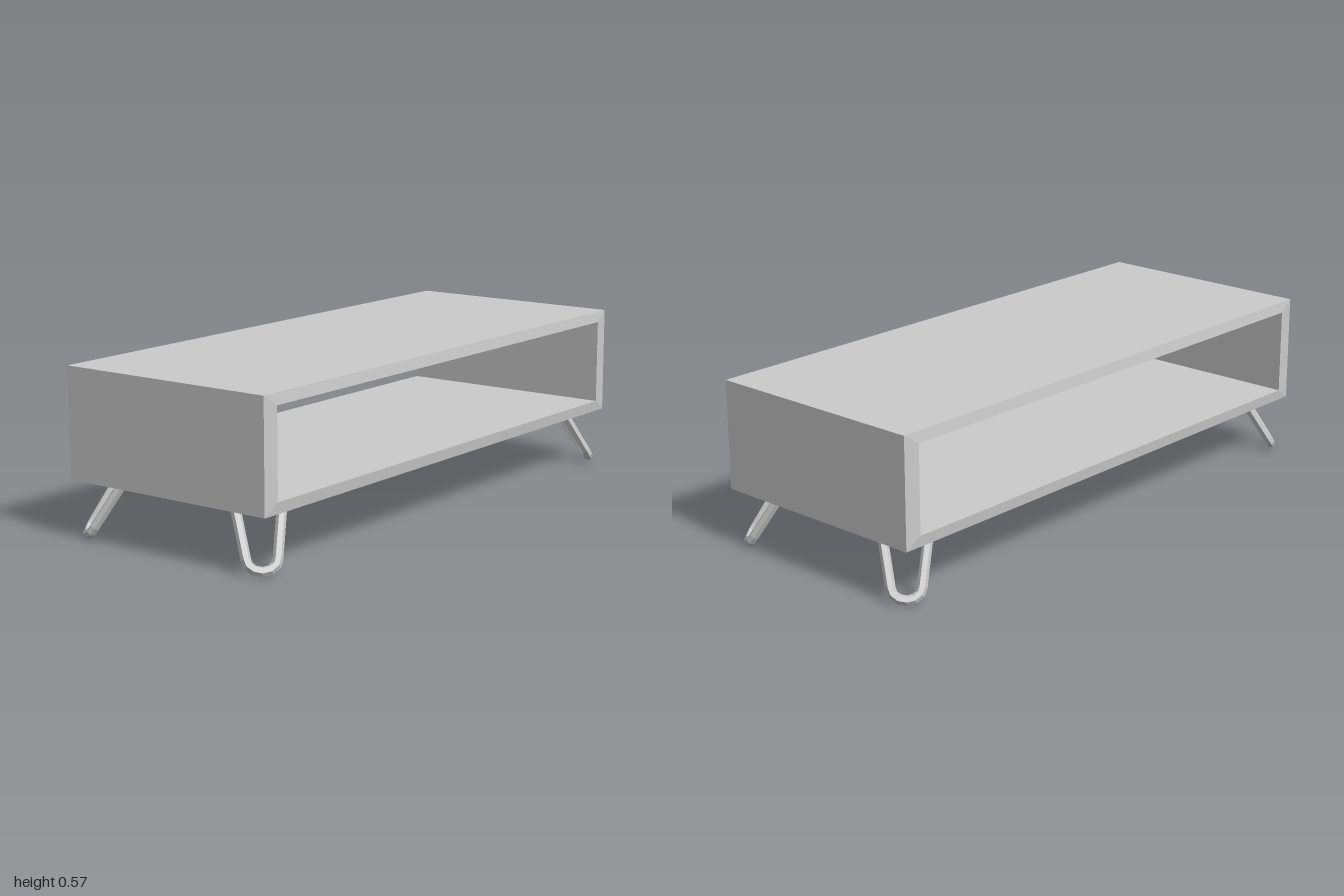
import * as THREE from 'three';

const material = new THREE.MeshStandardMaterial({ color: 0xcccccc, flatShading: true });

// Skins a list of rings (equal point counts, counter-clockwise along travel).
function loft(rings, closed) {
  const count = rings[0].length;
  const index = [];
  const last = closed ? rings.length : rings.length - 1;
  for (let i = 0; i < last; i++) {
    const next = (i + 1) % rings.length;
    for (let j = 0; j < count; j++) {
      const k = (j + 1) % count;
      const a = i * count + j, b = i * count + k;
      const c = next * count + j, d = next * count + k;
      index.push(a, b, c, b, d, c);
    }
  }
  const geometry = new THREE.BufferGeometry().setFromPoints(rings.flat());
  geometry.setIndex(index);
  const flat = geometry.toNonIndexed();
  flat.computeVertexNormals();
  return flat;
}

// Open rectangular case; the rims slope slightly outward to the opening.
function caseGeometry() {
  const rectangle = (halfX, y0, y1, z) => [
    new THREE.Vector3(-halfX, y0, z), new THREE.Vector3(halfX, y0, z),
    new THREE.Vector3(halfX, y1, z), new THREE.Vector3(-halfX, y1, z),
  ];
  return loft([
    rectangle(1, 0.197, 0.572, -0.404),
    rectangle(1, 0.197, 0.572, 0.404),
    rectangle(0.943, 0.236, 0.534, 0.409),
    rectangle(0.943, 0.236, 0.534, -0.409),
  ], true);
}

// Bent-rod leg: a U in a plane leaning outward along local +z.
function legGeometry() {
  const lean = 0.63, radius = 0.0165, sides = 6, bends = 6;
  const point = (x, y) => new THREE.Vector3(x, y, 0.404 + (0.197 - y) * lean);
  const path = [point(0.075, 0.21)];
  for (let i = 0; i <= bends; i++) {
    const a = (i / bends) * Math.PI;
    path.push(point(0.049 * Math.cos(a), 0.05 - 0.034 * Math.sin(a)));
  }
  path.push(point(-0.075, 0.21));

  const normal = new THREE.Vector3(0, lean, 1).normalize();
  const rings = path.map((p, i) => {
    const before = path[Math.max(i - 1, 0)];
    const after = path[Math.min(i + 1, path.length - 1)];
    const tangent = after.clone().sub(before).normalize();
    const across = normal.clone().cross(tangent);
    return Array.from({ length: sides }, (_, j) => {
      const a = (j / sides) * Math.PI * 2;
      return p.clone()
        .addScaledVector(across, radius * Math.cos(a))
        .addScaledVector(normal, radius * Math.sin(a));
    });
  });
  return loft(rings, false);
}

export function createModel() {
  const model = new THREE.Group();
  model.name = 'lowTable';

  const body = new THREE.Mesh(caseGeometry(), material);
  body.name = 'openCase';
  model.add(body);

  // One leg splayed towards each corner
  const leg = legGeometry();
  for (const [sx, sideName] of [[1, 'Left'], [-1, 'Right']]) {
    for (const [sz, endName] of [[1, 'front'], [-1, 'back']]) {
      const mesh = new THREE.Mesh(leg, material);
      mesh.name = `${endName}${sideName}Leg`;
      mesh.position.x = sx * 0.6;
      mesh.rotation.y = Math.atan2(sx, sz);
      model.add(mesh);
    }
  }
  return model;
}
